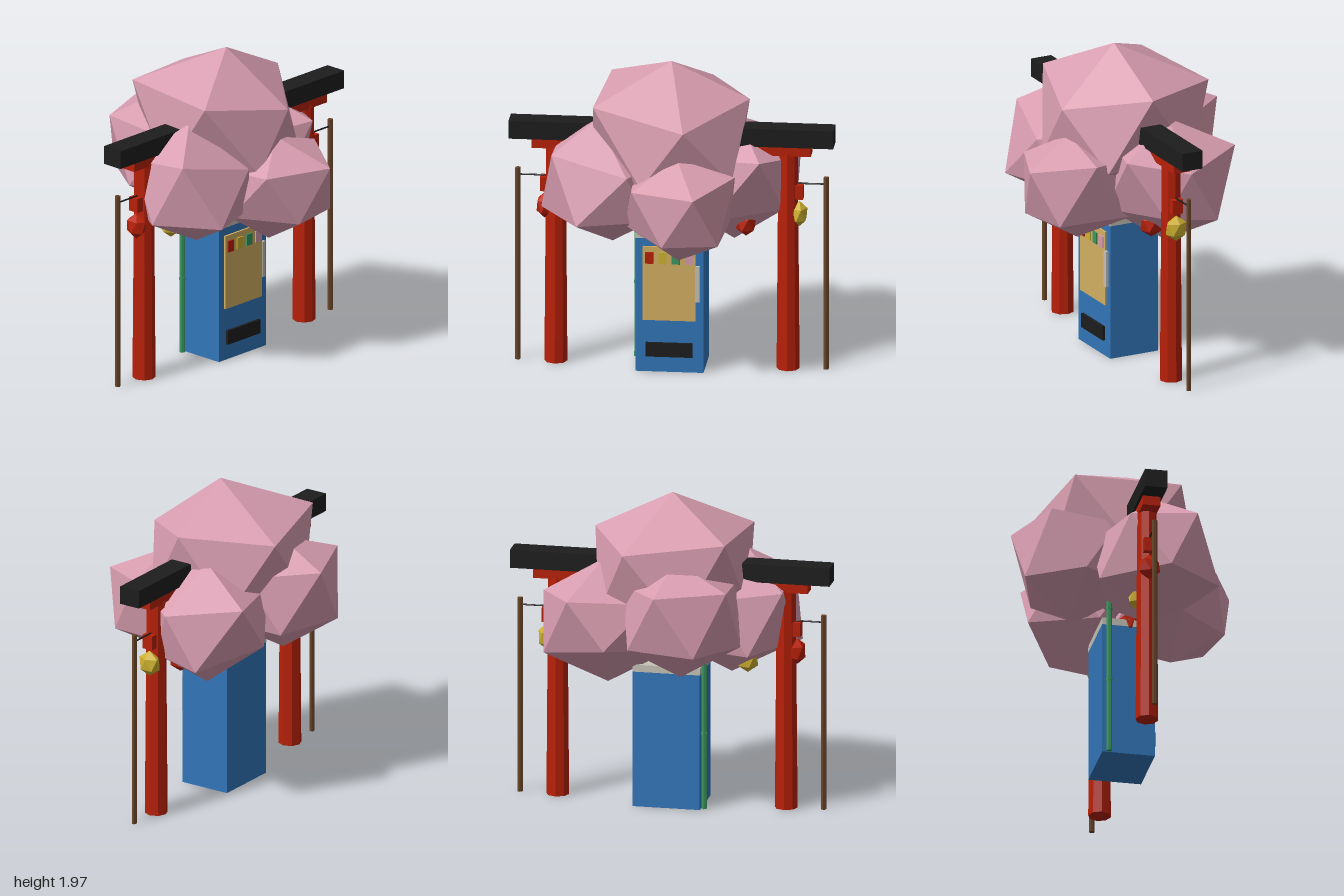
import * as THREE from 'three';

const mat = (name, color) => {
  const m = new THREE.MeshStandardMaterial({ color, flatShading: true });
  m.name = name;
  return m;
};

// Move the corner of a geometry nearest to the target onto the target
function pullCorner(geometry, target) {
  const p = geometry.attributes.position;
  const v = new THREE.Vector3();
  const nearest = new THREE.Vector3(Infinity, 0, 0);
  for (let i = 0; i < p.count; i++) {
    v.fromBufferAttribute(p, i);
    if (v.distanceTo(target) < nearest.distanceTo(target)) nearest.copy(v);
  }
  for (let i = 0; i < p.count; i++) {
    if (v.fromBufferAttribute(p, i).distanceTo(nearest) < 1e-4) p.setXYZ(i, target.x, target.y, target.z);
  }
}

export function createModel() {
  const pink = mat('blossom pink', 0xd89db0);
  const red = mat('gate red', 0xb82008);
  const blue = mat('cabinet blue', 0x3276ba);
  const tan = mat('panel tan', 0xd4b062);
  const yellow = mat('lantern yellow', 0xcdb030);
  const green = mat('bamboo green', 0x3c9762);
  const black = mat('beam black', 0x1d1d1d);
  const grey = mat('trim grey', 0xc6c2b7);
  const brown = mat('pole brown', 0x684428);

  const model = new THREE.Group();
  model.name = 'gateWithBlossoms';

  const add = (name, geometry, material, x, y, z) => {
    const mesh = new THREE.Mesh(geometry, material);
    mesh.name = name;
    mesh.position.set(x, y, z);
    model.add(mesh);
    return mesh;
  };
  // Box given by its lower and upper limits
  const box = (name, material, [x0, x1], [y0, y1], [z0, z1]) =>
    add(name, new THREE.BoxGeometry(x1 - x0, y1 - y0, z1 - z0), material,
      (x0 + x1) / 2, (y0 + y1) / 2, (z0 + z1) / 2);
  // Upright cylinder from y0 to y1
  const pole = (name, material, rTop, rBase, y0, y1, x, z, sides) =>
    add(name, new THREE.CylinderGeometry(rTop, rBase, y1 - y0, sides), material, x, (y0 + y1) / 2, z);
  // Twenty-sided lump standing on a corner; some corners are pulled to given places
  const lump = (name, material, [x, y, z], [rx, ry, rz], corners = []) => {
    const g = new THREE.IcosahedronGeometry(1, 0);
    g.rotateZ(Math.atan(2 / (1 + Math.sqrt(5))));
    g.rotateY(Math.PI);
    g.scale(rx, ry, rz);
    for (const [cx, cy, cz] of corners) pullCorner(g, new THREE.Vector3(cx - x, cy - y, cz - z));
    g.computeVertexNormals();
    return add(name, g, material, x, y, z);
  };

  // Gate: beams, posts, and thin side poles
  box('topBeam', black, [-1, 1], [1.445, 1.56], [-0.07, 0.07]);
  box('underBeam', red, [-0.86, 0.86], [1.385, 1.445], [-0.055, 0.055]);
  box('tieBeam', red, [-0.81, 0.81], [1.1, 1.19], [-0.035, 0.035]);
  for (const side of [-1, 1]) {
    pole('post', red, 0.06, 0.071, 0, 1.4, side * 0.715, 0, 8);
    pole('sidePole', brown, 0.017, 0.017, 0, 1.24, side * 0.95, 0, 6);
  }
  const rope = add('rope', new THREE.CylinderGeometry(0.005, 0.005, 1.9, 6), black, 0, 1.195, 0);
  rope.rotation.z = Math.PI / 2;

  // Lanterns in a sagging row
  [-0.785, -0.475, -0.157, 0.157, 0.455, 0.785].forEach((x, i) => {
    const y = 0.89 + 0.18 * x * x;
    lump('lantern', i % 2 ? yellow : red, [x, y, 0], [Math.abs(x) > 0.7 ? 0.055 : 0.07, 0.082, 0.076]);
  });

  // Vending machine
  box('cabinet', blue, [-0.21, 0.21], [0, 0.86], [-0.175, 0.155]);
  box('cabinetCap', grey, [-0.212, 0.212], [0.86, 0.905], [-0.175, 0.155]);
  box('displayPanel', tan, [-0.163, 0.163], [0.335, 0.81], [0.155, 0.168]);
  box('coinPanel', grey, [0.16, 0.188], [0.46, 0.69], [0.155, 0.174]);
  box('deliverySlot', black, [-0.145, 0.142], [0.1, 0.19], [0.155, 0.172]);
  [red, yellow, green, pink].forEach((m, i) => {
    const x = -0.123 + i * 0.082;
    box('displayItem', m, [x - 0.025, x + 0.025], [0.702, 0.775], [0.168, 0.177]);
  });

  // Bamboo stem with joints
  pole('bambooStem', green, 0.017, 0.018, 0, 1.35, -0.23, -0.135, 6);
  for (const y of [0.48, 0.96]) pole('bambooJoint', green, 0.021, 0.021, y - 0.008, y + 0.008, -0.23, -0.135, 6);

  // Blossom crown
  lump('blossomTop', pink, [0, 1.485, -0.03], [0.54, 0.48, 0.55], [
    [0, 1.965, 0.02], [0.48, 1.73, 0.0], [0.11, 1.63, 0.435], [-0.46, 1.73, 0.27],
    [-0.41, 1.76, -0.385], [0.2, 1.7, -0.53],
  ]);
  lump('blossomFront', pink, [0.07, 1.115, 0.31], [0.41, 0.34, 0.42], [
    [0.07, 1.45, 0.37], [-0.195, 1.28, 0.54], [-0.26, 0.99, 0.3], [0.34, 0.96, 0.57],
    [0.425, 1.34, 0.36], [0.2, 1.29, 0.705], [0, 0.96, 0.635],
  ]);
  lump('blossomRight', pink, [-0.41, 1.19, 0.1], [0.42, 0.385, 0.42], [
    [-0.45, 1.61, 0.13], [-0.71, 1.43, 0.32], [-0.54, 1.03, 0.49], [-0.235, 1.33, 0.43],
    [-0.79, 1.04, 0.14], [-0.71, 1.39, -0.1], [-0.355, 0.82, 0.1],
  ]);
  lump('blossomLeft', pink, [0.38, 1.175, -0.15], [0.44, 0.395, 0.425], [
    [0.39, 1.57, -0.15], [0.74, 0.99, -0.31], [0.78, 1.33, -0.11], [0.55, 1.385, -0.53],
    [0.32, 1.08, -0.53], [0.56, 1.385, 0.22], [0.69, 1.03, 0.02], [0.37, 0.78, -0.14],
  ]);
  lump('blossomBack', pink, [-0.13, 1.28, -0.33], [0.41, 0.39, 0.41], [
    [-0.09, 1.64, -0.36], [-0.03, 1.49, -0.71], [-0.27, 1.11, -0.67], [-0.45, 1.5, -0.54],
    [-0.13, 0.9, -0.36],
  ]);

  return model;
}
